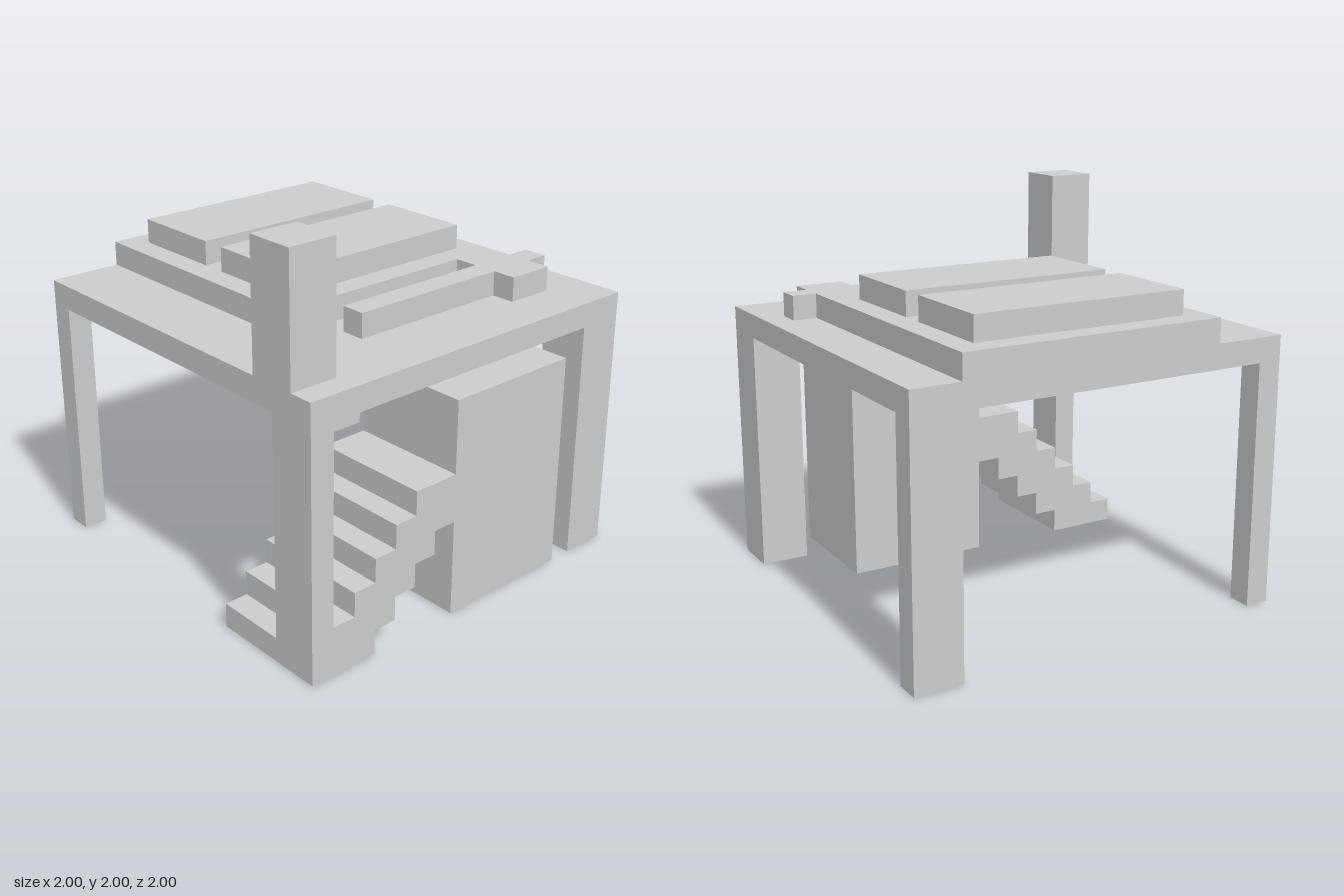
import * as THREE from 'three';

const material = new THREE.MeshStandardMaterial({ color: 0xcccccc, flatShading: true });

// Axis-aligned block given by its [min, max] range on each axis
function block(name, [x0, x1], [y0, y1], [z0, z1]) {
  const mesh = new THREE.Mesh(new THREE.BoxGeometry(x1 - x0, y1 - y0, z1 - z0), material);
  mesh.position.set((x0 + x1) / 2, (y0 + y1) / 2, (z0 + z1) / 2);
  mesh.name = name;
  return mesh;
}

// Stepped flight, drawn as a (z, y) profile and extruded across x
function staircase() {
  const s = 0.125, steps = 5;
  const shape = new THREE.Shape();
  shape.moveTo(1, 0);
  // Treads and risers climbing towards the back
  for (let i = 0; i <= steps; i++) {
    shape.lineTo(1 - i * s, (i + 1) * s);
    if (i < steps) shape.lineTo(1 - (i + 1) * s, (i + 1) * s);
  }
  shape.lineTo(0.125, 0.75);
  // Stepped underside coming back down
  for (let i = 4; i >= 0; i--) {
    shape.lineTo(0.625 - i * s, i * s);
    if (i > 0) shape.lineTo(0.625 - (i - 1) * s, i * s);
  }
  shape.closePath();
  const geometry = new THREE.ExtrudeGeometry(shape, { depth: 0.625, bevelEnabled: false });
  geometry.rotateY(-Math.PI / 2).translate(1, 0, 0);
  const mesh = new THREE.Mesh(geometry, material);
  mesh.name = 'staircase';
  return mesh;
}

export function createModel() {
  const model = new THREE.Group();
  model.name = 'raisedHouse';

  // Deck and its four posts
  model.add(block('deck', [-1, 1], [1.25, 1.375], [-1, 1]));
  model.add(block('frontLeftPost', [0.75, 1], [0.125, 1.25], [0.875, 1]));
  model.add(block('frontRightPost', [-1, -0.875], [0, 1.25], [0.875, 1]));
  model.add(block('backLeftPost', [0.75, 1], [0, 1.25], [-1, -0.75]));
  model.add(block('backRightPost', [-1, -0.875], [0, 1.25], [-1, -0.75]));

  // Stairs and the core they lead to
  model.add(staircase());
  model.add(block('core', [0.375, 1], [0, 1.125], [-0.625, 0.125]));

  // Raised layer on the deck, with a side arm crossed by a long bar
  const layer = [1.375, 1.5];
  model.add(block('raisedLayer', [-1, 0.375], layer, [-0.75, 0.625]));
  model.add(block('sideArm', [0.375, 0.75], layer, [-0.75, -0.5]));
  model.add(block('barFront', [0.5, 0.625], layer, [-0.5, 0.375]));
  model.add(block('barBack', [0.5, 0.625], layer, [-0.875, -0.75]));

  // Two roof panels
  for (const x of [-0.875, -0.25]) {
    model.add(block('roofPanel', [x, x + 0.5], [1.5, 1.625], [-0.625, 0.5]));
  }

  model.add(block('chimney', [0.625, 0.875], [1.375, 2], [0.75, 1]));
  return model;
}
